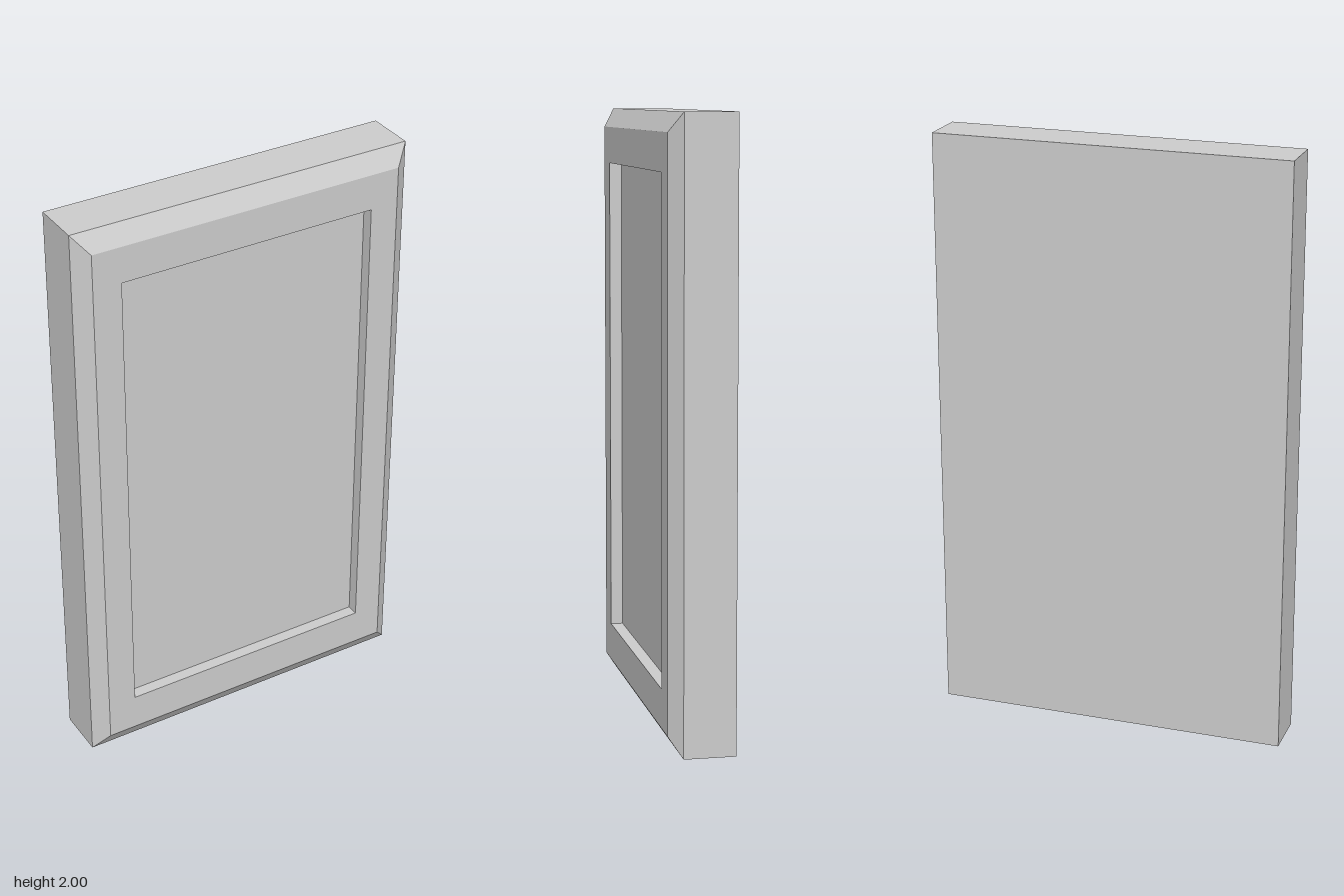
import * as THREE from 'three';

// Rectangular cross-section facing +z, corners counter-clockwise from the front.
const rect = (halfW, y0, y1, z) => [
  [-halfW, y0, z], [halfW, y0, z], [halfW, y1, z], [-halfW, y1, z],
];

// Joins successive rectangles with flat quads; optionally caps the two ends.
function loft(rings, { capStart = false, capEnd = false } = {}) {
  const pos = [];
  const quad = (a, b, c, d) => pos.push(...a, ...b, ...c, ...a, ...c, ...d);
  for (let i = 0; i < rings.length - 1; i++) {
    const p = rings[i], q = rings[i + 1];
    for (let k = 0; k < 4; k++) {
      const n = (k + 1) % 4;
      quad(p[k], p[n], q[n], q[k]);
    }
  }
  if (capStart) quad(...[...rings[0]].reverse());
  if (capEnd) quad(...rings[rings.length - 1]);
  const geometry = new THREE.BufferGeometry();
  geometry.setAttribute('position', new THREE.Float32BufferAttribute(pos, 3));
  geometry.computeVertexNormals();
  return geometry;
}

export function createModel() {
  const group = new THREE.Group();
  group.name = 'panelledDoor';
  const material = new THREE.MeshStandardMaterial({ color: 0xcccccc, flatShading: true });
  const add = (name, geometry) => {
    const mesh = new THREE.Mesh(geometry, material);
    mesh.name = name;
    group.add(mesh);
  };

  const back = -0.105, shoulder = 0.064, front = 0.105, floor = 0.064;
  const outer = (z) => rect(0.597, 0, 2, z);
  const rim = rect(0.546, 0.062, 1.938, front);
  const opening = (z) => rect(0.448, 0.19, 1.815, z);

  // Slab: back face and straight sides
  add('slab', loft([outer(back), outer(shoulder)], { capStart: true }));
  // Frame: sloping bevel and flat front border
  add('bevel', loft([outer(shoulder), rim]));
  add('frontBorder', loft([rim, opening(front)]));
  // Recess: shallow walls and the sunken panel
  add('recessedPanel', loft([opening(front), opening(floor)], { capEnd: true }));

  return group;
}
